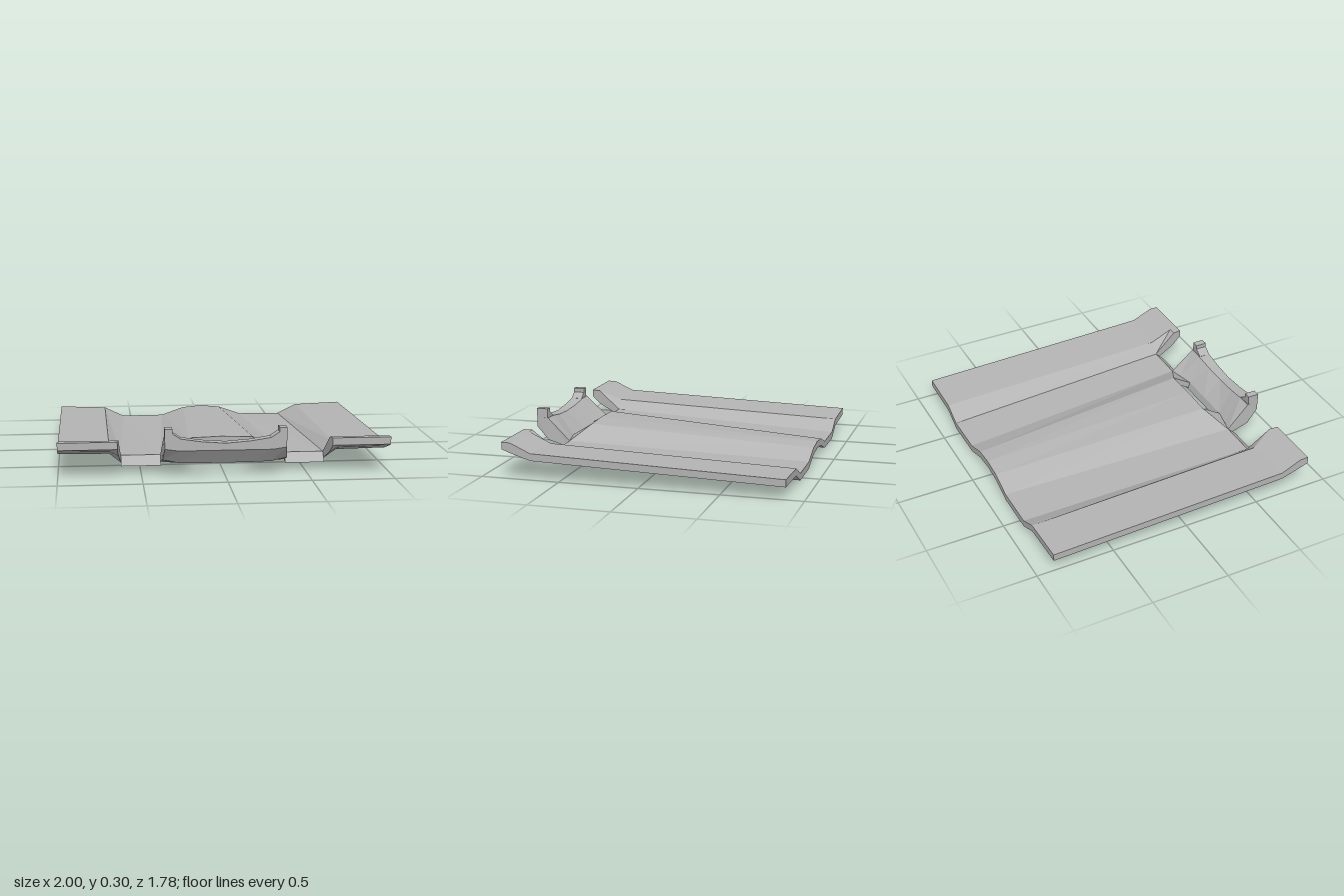
import * as THREE from 'three';

const THICK = 0.045;
const mirror = rows => rows.map(r => r.map(([x, y, z]) => [-x, y, z]).reverse());
// Right half row (starting at x = 0) to full symmetric row
const fullRow = half => [...half.slice(1).map(([x, y, z]) => [-x, y, z]).reverse(), ...half];
const lower = rows => rows.map(r => r.map(([x, y, z]) => [x, y - THICK, z]));

// Closed slab between a top and a bottom grid (rows run back to front, columns along +x)
function slab(top, bottom = lower(top)) {
  const pos = [];
  const quad = (a, b, c, d) => pos.push(...a, ...b, ...c, ...a, ...c, ...d);
  const R = top.length - 1, C = top[0].length - 1;
  for (let i = 0; i < R; i++) for (let j = 0; j < C; j++) {
    quad(top[i][j], top[i + 1][j], top[i + 1][j + 1], top[i][j + 1]);
    quad(bottom[i][j], bottom[i][j + 1], bottom[i + 1][j + 1], bottom[i + 1][j]);
  }
  const loop = [];
  for (let i = 0; i < R; i++) loop.push([i, 0]);
  for (let j = 0; j < C; j++) loop.push([R, j]);
  for (let i = R; i > 0; i--) loop.push([i, C]);
  for (let j = C; j > 0; j--) loop.push([0, j]);
  loop.forEach(([i, j], k) => {
    const [m, n] = loop[(k + 1) % loop.length];
    quad(top[i][j], bottom[i][j], bottom[m][n], top[m][n]);
  });
  const g = new THREE.BufferGeometry();
  g.setAttribute('position', new THREE.Float32BufferAttribute(pos, 3));
  g.computeVertexNormals();
  return g;
}

export function createModel() {
  const group = new THREE.Group();
  const grey = new THREE.MeshStandardMaterial({ color: 0xb4b4b4 });
  grey.name = 'plain grey';
  const add = (name, geometry) => {
    const mesh = new THREE.Mesh(geometry, grey);
    mesh.name = name;
    group.add(mesh);
  };

  // Main panel: creased section with a centre ridge and two valleys
  const back = [[0, 0.112, -0.89], [0.13, 0.1, -0.89], [0.28, 0.047, -0.89],
    [0.56, 0.045, -0.89], [0.69, 0.108, -0.89], [1, 0.12, -0.89]];
  const front = [[0, 0.187, 0.57], [0.2, 0.18, 0.57], [0.38, 0.1, 0.66],
    [0.62, 0.1, 0.66], [0.69, 0.157, 0.665], [1, 0.165, 0.68]];
  const panelTop = [fullRow(back), fullRow(front)];
  add('mainPanel', slab(panelTop));

  // Sloped ends of the valleys
  const endTop = [[[0.38, 0.1, 0.66], [0.62, 0.1, 0.66]], [[0.38, 0.1, 0.661], [0.62, 0.1, 0.661]]];
  const endBottom = [[[0.38, 0.055, 0.66], [0.62, 0.055, 0.66]], [[0.38, 0.045, 0.72], [0.62, 0.045, 0.72]]];
  // Raised front flaps with a flat lip
  const flapTop = [
    [[0.62, 0.1, 0.66], [0.69, 0.157, 0.665], [1, 0.165, 0.68]],
    [[0.637, 0.223, 0.81], [0.69, 0.223, 0.81], [1, 0.223, 0.81]],
    [[0.645, 0.225, 0.865], [0.69, 0.225, 0.865], [1, 0.225, 0.865]]];
  const flapBottom = [
    [[0.62, 0.055, 0.66], [0.69, 0.112, 0.665], [1, 0.12, 0.68]],
    [[0.637, 0.13, 0.81], [0.69, 0.155, 0.81], [1, 0.16, 0.81]],
    [[0.645, 0.18, 0.865], [0.69, 0.18, 0.865], [1, 0.18, 0.865]]];
  // Steep gussets beside the opening
  const gusset = [
    [[0.2, 0.18, 0.57], [0.38, 0.1, 0.66]],
    [[0.2, 0.1, 0.7], [0.38, 0.1, 0.661]]];
  for (const [name, t, b] of [['valleyEnd', endTop, endBottom],
    ['frontFlap', flapTop, flapBottom], ['openingGusset', gusset, lower(gusset)]]) {
    add(name + 'Left', slab(t, b));
    add(name + 'Right', slab(mirror(t), mirror(b)));
  }

  // Upturned centre lip in front of the opening
  const lipTop = [
    [[0, 0.1, 0.7], [0.2, 0.1, 0.7], [0.3, 0.1, 0.68], [0.38, 0.1, 0.66]],
    [[0, 0.21, 0.82], [0.15, 0.22, 0.815], [0.27, 0.238, 0.81], [0.368, 0.24, 0.81]],
    [[0, 0.21, 0.885], [0.15, 0.222, 0.885], [0.27, 0.24, 0.885], [0.365, 0.24, 0.885]]];
  const lipBottom = [
    [[0, 0.055, 0.685], [0.2, 0.055, 0.685], [0.3, 0.055, 0.675], [0.38, 0.055, 0.66]],
    [[0, 0.078, 0.82], [0.15, 0.078, 0.82], [0.28, 0.082, 0.82], [0.375, 0.1, 0.81]],
    [[0, 0.168, 0.885], [0.15, 0.168, 0.885], [0.28, 0.168, 0.885], [0.365, 0.18, 0.885]]];
  add('centreLip', slab(lipTop.map(fullRow), lipBottom.map(fullRow)));

  // Upright horns at the ends of the centre lip
  for (const s of [1, -1]) {
    const outline = [[0.27, 0.22], [0.366, 0.22], [0.366, 0.3], [0.32, 0.3], [0.32, 0.273], [0.27, 0.24]];
    const shape = new THREE.Shape(outline.map(([x, y]) => new THREE.Vector2(s * x, y)));
    const horn = new THREE.ExtrudeGeometry(shape, { depth: 0.072, bevelEnabled: false });
    horn.translate(0, 0, 0.814);
    add(s > 0 ? 'hornLeft' : 'hornRight', horn);
  }
  return group;
}
